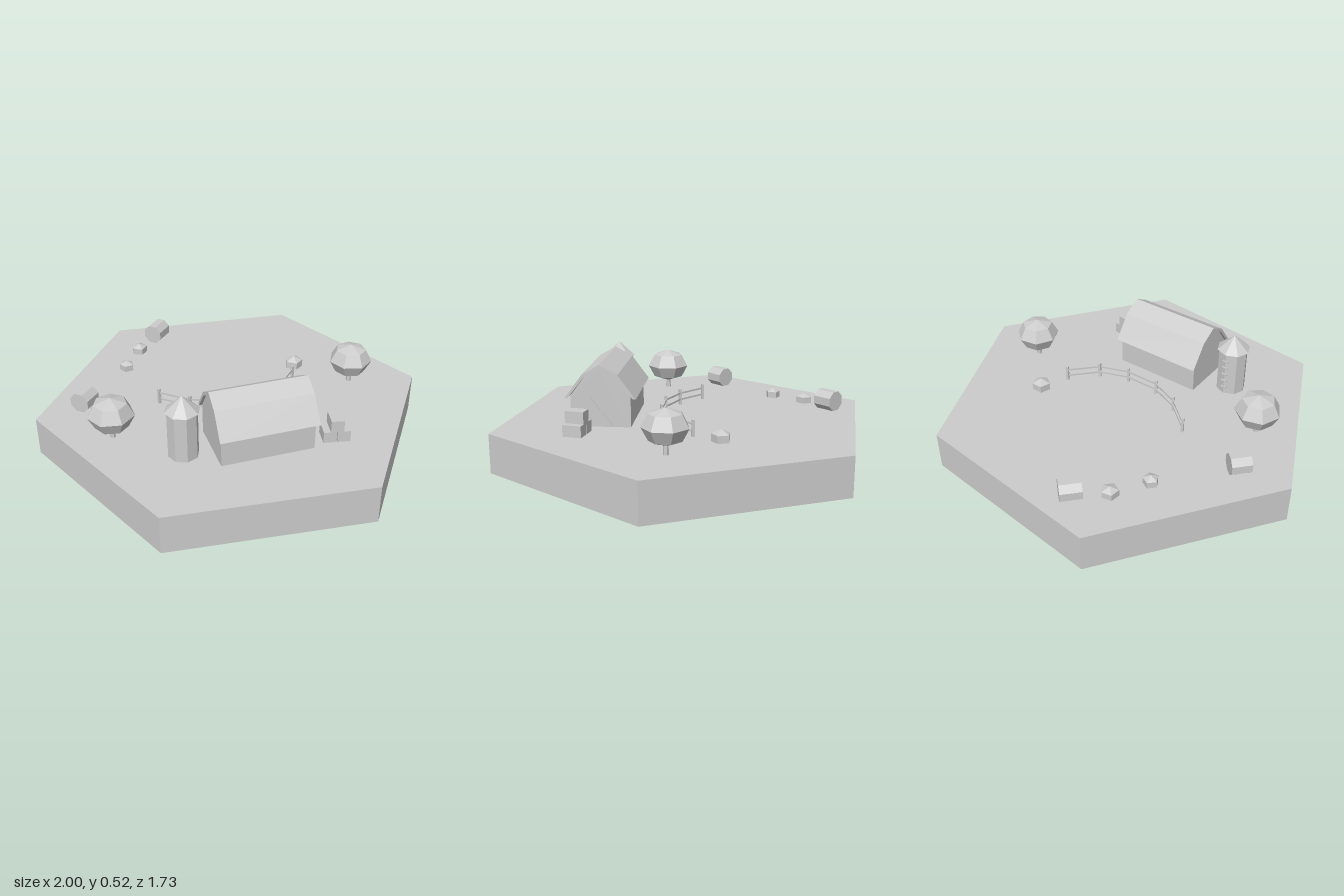
import * as THREE from 'three';

const stone = new THREE.MeshStandardMaterial({ color: 0xcccccc, side: THREE.DoubleSide });
stone.name = 'plain grey';

// faceted mesh
function part(name, geometry, parent, x = 0, y = 0, z = 0) {
  const g = geometry.index ? geometry.toNonIndexed() : geometry;
  g.computeVertexNormals();
  const mesh = new THREE.Mesh(g, stone);
  mesh.name = name;
  mesh.position.set(x, y, z);
  parent.add(mesh);
  return mesh;
}

function group(name, parent, x, z, turn = 0) {
  const g = new THREE.Group();
  g.name = name;
  g.position.set(x, 0, z);
  g.rotation.y = turn;
  parent.add(g);
  return g;
}

// extrude an x-y outline, centred along z
function extrude(points, depth) {
  const shape = new THREE.Shape(points.map(([x, y]) => new THREE.Vector2(x, y)));
  return new THREE.ExtrudeGeometry(shape, { depth, bevelEnabled: false }).translate(0, 0, -depth / 2);
}

const GROUND = 0.2;
const SUNK = 0.19; // foot of everything set into the ground

function addGround(root) {
  part('groundSides', new THREE.CylinderGeometry(1, 1, GROUND, 6, 1, true, Math.PI / 6), root, 0, GROUND / 2, 0);
  part('groundTop', new THREE.CircleGeometry(1, 6).rotateX(-Math.PI / 2), root, 0, GROUND, 0);
}

function addBarn(root) {
  const barn = group('barn', root, 0.364, 0.158, -0.418);
  part('barnWalls', extrude([[-0.15, SUNK], [0.15, SUNK], [0.15, 0.355], [0.08, 0.449], [0, 0.496],
    [-0.08, 0.449], [-0.15, 0.355]], 0.464), barn);
  // gambrel roof shell
  const outer = [[-0.177, 0.345], [-0.088, 0.465], [0, 0.515], [0.088, 0.465], [0.177, 0.345]];
  const inner = [[0.162, 0.345], [0.08, 0.45], [0, 0.497], [-0.08, 0.45], [-0.162, 0.345]];
  part('barnRoof', extrude([...outer, ...inner], 0.49), barn);
  // crossed braces of the back door
  for (const s of [-1, 1]) {
    const brace = part('doorBrace', new THREE.BoxGeometry(0.015, 0.175, 0.012), barn, 0, 0.275, -0.236);
    brace.rotation.z = s * 0.66;
  }
}

function addSilo(root) {
  const silo = group('silo', root, 0.214, 0.497, -0.418);
  part('siloBody', new THREE.CylinderGeometry(0.075, 0.075, 0.257, 8), silo, 0, 0.3185, 0);
  part('siloRoof', new THREE.ConeGeometry(0.085, 0.076, 8), silo, 0, 0.482, 0);
  for (let i = 0; i < 5; i++) {
    part('siloRung', new THREE.BoxGeometry(0.012, 0.007, 0.03), silo, -0.073, 0.24 + i * 0.04, 0);
  }
}

function addTree(root, x, z, r, turn) {
  const tree = group('tree', root, x, z, turn);
  part('treeTrunk', new THREE.CylinderGeometry(0.012, 0.014, 0.09, 6), tree, 0, SUNK + 0.045, 0);
  part('treeCrown', new THREE.SphereGeometry(r, 7, 4).scale(1, 0.78, 1), tree, 0, 0.33, 0);
}

function addBale(root, x, z, length) {
  const bale = group('hayBale', root, x, z, 0.4);
  const roll = new THREE.CylinderGeometry(0.055, 0.055, length, 8).rotateX(Math.PI / 2).rotateZ(Math.PI / 8);
  part('baleRoll', roll, bale, 0, 0.25, 0);
}

function addRock(root, x, z, r, h, turn) {
  const rock = group('rock', root, x, z, turn);
  part('rockStone', new THREE.SphereGeometry(r, 5, 3).scale(1, h / r, 1), rock, 0, 0.215, 0);
}

function addCrates(root) {
  const crates = group('crates', root, 0.595, -0.135, -0.61);
  for (const [y, z] of [[0.228, -0.034], [0.228, 0.034], [0.288, 0]]) {
    part('crate', new THREE.BoxGeometry(0.095, 0.06, 0.064), crates, 0, y, z);
  }
}

function addFence(root) {
  const fence = group('fence', root, 0, 0);
  const posts = [[0.083, -0.36], [0.15, -0.2], [0.138, -0.04], [0.064, 0.123], [-0.053, 0.235], [-0.21, 0.31]];
  posts.forEach(([x, z], i) => {
    part('fencePost', new THREE.BoxGeometry(0.014, 0.094, 0.014), fence, x, SUNK + 0.047, z);
    if (!i) return;
    // two rails back to the previous post
    const [px, pz] = posts[i - 1];
    for (const y of [0.228, 0.263]) {
      const rail = part('fenceRail', new THREE.BoxGeometry(0.007, 0.01, Math.hypot(x - px, z - pz)),
        fence, (x + px) / 2, y, (z + pz) / 2);
      rail.rotation.y = Math.atan2(x - px, z - pz);
    }
  });
}

export function createModel() {
  const root = new THREE.Group();
  root.name = 'farmTile';
  addGround(root);
  addBarn(root);
  addSilo(root);
  addTree(root, -0.123, 0.663, 0.116, 0.3);
  addTree(root, 0.29, -0.583, 0.112, 1.1);
  addBale(root, -0.77, -0.107, 0.105);
  addBale(root, -0.433, 0.615, 0.1);
  addRock(root, -0.715, 0.064, 0.05, 0.036, 0.4);
  addRock(root, -0.604, 0.23, 0.045, 0.036, 1.0);
  addRock(root, -0.016, -0.475, 0.055, 0.045, 0.2);
  addCrates(root);
  addFence(root);
  return root;
}
